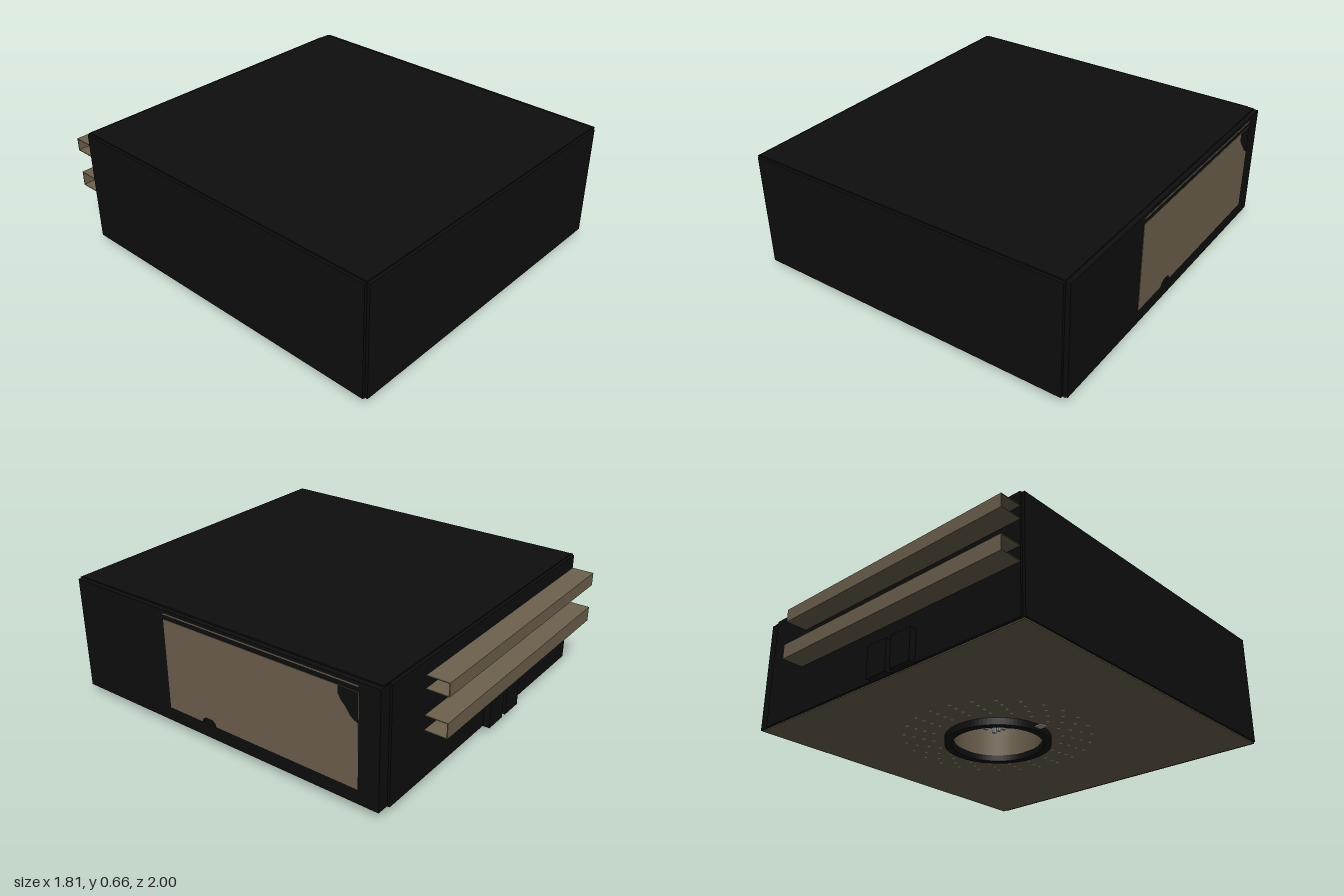
import * as THREE from 'three';
import { mergeGeometries } from 'three/addons/utils/BufferGeometryUtils.js';

const mat = (name, color, side = THREE.FrontSide) => {
  const m = new THREE.MeshStandardMaterial({ color, side });
  m.name = name;
  return m;
};

export function createModel() {
  const model = new THREE.Group();
  model.name = 'casing';
  const black = mat('black', 0x0e0e0e);
  const tan = mat('tan', 0x6d604d, THREE.DoubleSide);
  const grey = mat('grey', 0xa4a4a4);

  const add = (name, geometry, material, parent = model) => {
    const mesh = new THREE.Mesh(geometry, material);
    mesh.name = name;
    parent.add(mesh);
    return mesh;
  };
  // box given by its minimum and maximum corners
  const boxGeo = (x0, x1, y0, y1, z0, z1) =>
    new THREE.BoxGeometry(x1 - x0, y1 - y0, z1 - z0)
      .translate((x0 + x1) / 2, (y0 + y1) / 2, (z0 + z1) / 2);
  const box = (name, material, ...b) => add(name, boxGeo(...b), material);

  // flat plate in the xz plane with a round hole, between y0 and y1
  const cx = 0.06, cz = 0.018, bore = 0.235;
  const pierced = (name, material, outline, hole, y0, y1) => {
    outline.holes.push(new THREE.Path().absarc(cx, cz, hole, 0, Math.PI * 2, true));
    const g = new THREE.ExtrudeGeometry(outline, { depth: y1 - y0, bevelEnabled: false, curveSegments: 40 });
    g.rotateX(Math.PI / 2).translate(0, y1, 0);
    return add(name, g, material);
  };
  const rect = (x0, x1, z0, z1) => new THREE.Shape([
    new THREE.Vector2(x0, z0), new THREE.Vector2(x1, z0),
    new THREE.Vector2(x1, z1), new THREE.Vector2(x0, z1)]);

  // main casing, its lid and end plates
  pierced('lowerCasing', black, rect(-0.905, 0.905, -0.87, 0.985), bore, 0.044, 0.2);
  box('upperCasing', black, -0.905, 0.905, 0.2, 0.653, -0.87, 0.985);
  box('lid', black, -0.89, 0.88, 0.653, 0.66, -0.865, 0.985);
  box('frontPlate', black, -0.89, 0.88, 0.042, 0.653, 0.985, 1);
  box('backPlate', black, -0.89, 0.84, 0.042, 0.653, -0.882, -0.87);
  pierced('basePlate', tan, rect(-0.895, 0.895, -0.865, 0.985), bore, 0.038, 0.044);

  // side panel with two dark cut-outs and a narrow strip above
  box('sidePanel', tan, 0.9, 0.907, 0.12, 0.605, -0.76, 0.38);
  box('sideStrip', tan, 0.9, 0.907, 0.63, 0.637, -0.76, 0.38);
  const patch = (name, points) => {
    const s = new THREE.Shape(points.map(([z, y]) => new THREE.Vector2(-z, y)));
    const g = new THREE.ShapeGeometry(s).rotateY(Math.PI / 2).translate(0.909, 0, 0);
    add(name, g, black);
  };
  patch('cornerCutout', [[-0.76, 0.605], [-0.655, 0.605], [-0.655, 0.565], [-0.67, 0.54],
    [-0.695, 0.515], [-0.72, 0.48], [-0.74, 0.465], [-0.76, 0.458]]);
  patch('edgeCutout', [[0.16, 0.12], [0.07, 0.12], [0.075, 0.14], [0.095, 0.153], [0.135, 0.153], [0.155, 0.14]]);

  // open-ended channel rails across the back
  for (const [y0, y1] of [[0.3, 0.38], [0.51, 0.58]]) {
    const t = 0.004;
    add('backRail', mergeGeometries([
      boxGeo(-0.89, 0.58, y1 - t, y1, -1, -0.88),
      boxGeo(-0.89, 0.58, y0, y0 + t, -1, -0.88),
      boxGeo(-0.89, 0.58, y0, y1, -1, -1 + t)]), tan);
  }

  // paired sockets low on the back
  for (const x of [-0.27, -0.11]) box('backSocket', black, x, x + 0.13, 0.04, 0.21, -0.918, -0.87);

  // collar around the opening underneath, with its lever
  pierced('baseCollar', black, new THREE.Shape().absarc(cx, cz, 0.28, 0, Math.PI * 2), 0.24, 0, 0.039);
  box('collarLever', grey, -0.262, -0.2, 0.016, 0.024, -0.01, 0.03);

  // lined well inside the opening
  add('wellLining', new THREE.CylinderGeometry(0.233, 0.233, 0.17, 48, 1, true).translate(cx, 0.115, cz), tan);
  add('wellCeiling', new THREE.CircleGeometry(0.234, 48).rotateX(Math.PI / 2).translate(cx, 0.198, cz), black);
  box('wellBlock', tan, cx - 0.14, cx + 0.14, 0.16, 0.197, cz - 0.13, cz + 0.13);
  const pins = [];
  for (let i = 0; i < 8; i++) for (let j = 0; j < 4; j++) {
    const x = cx - 0.119 + i * 0.034, z = cz - 0.1 + j * 0.066;
    pins.push(boxGeo(x - 0.008, x + 0.008, 0.13, 0.162, z - 0.01, z + 0.01));
  }
  add('wellPins', mergeGeometries(pins), grey);

  // rings of small vents in the base
  const vents = [];
  [0.34, 0.39, 0.44, 0.49].forEach((r, k) => {
    const n = 20 + k * 2;
    for (let i = 0; i < n; i++) {
      const a = (i + k * 0.5) / n * Math.PI * 2;
      vents.push(new THREE.CircleGeometry(0.009, 6).rotateX(Math.PI / 2)
        .translate(cx + r * Math.cos(a), 0.0365, cz + r * Math.sin(a)));
    }
  });
  add('baseVents', mergeGeometries(vents), grey);

  return model;
}
